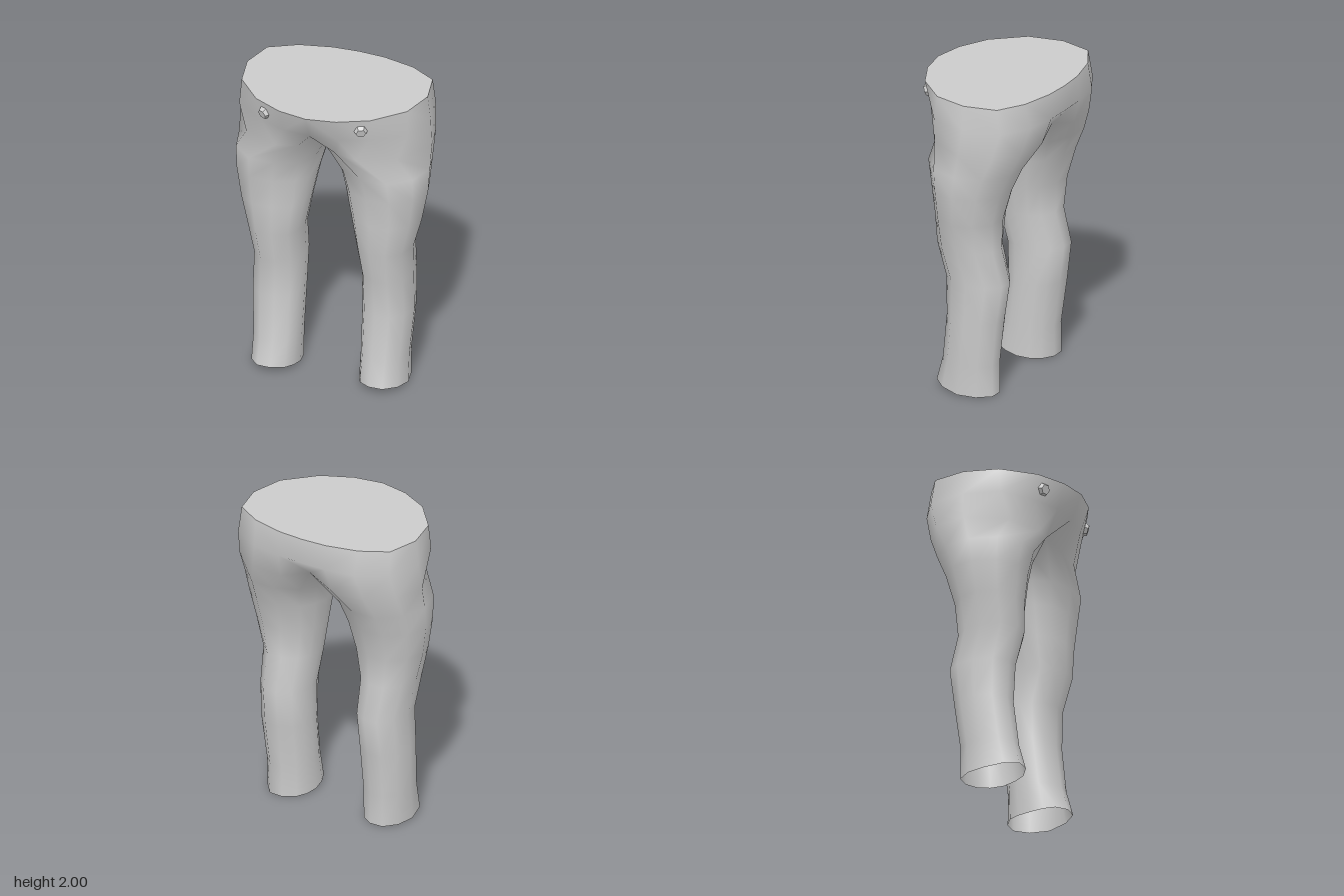
import * as THREE from 'three';
import { mergeGeometries, mergeVertices } from 'three/addons/utils/BufferGeometryUtils.js';

const N = 12; // points around a leg: 9 shared with the hips, 3 on the inside

// Hip half-rings, from front centre round the left side to back centre: [x, z]
const WAIST = [[0, 0.46], [0.19, 0.425], [0.38, 0.33], [0.55, 0.14], [0.6, -0.08], [0.55, -0.29], [0.38, -0.39], [0.17, -0.44], [0, -0.45]];
const HIP = [[0, 0.39], [0.18, 0.375], [0.36, 0.3], [0.56, 0.155], [0.62, -0.08], [0.56, -0.315], [0.37, -0.425], [0.17, -0.455], [0, -0.46]];
// Crotch ring, closed along the centre line by its last three points: [x, y, z]
const CROTCH = [
  [0, 1.75, 0.22], [0.12, 1.69, 0.275], [0.27, 1.67, 0.29], [0.5, 1.67, 0.19], [0.635, 1.67, -0.06], [0.58, 1.67, -0.27],
  [0.41, 1.67, -0.38], [0.19, 1.67, -0.4], [0, 1.73, -0.36], [0, 1.68, -0.2], [0, 1.65, -0.05], [0, 1.68, 0.09],
];
// Leg sections: [y, inner x, outer x, front z, back z]
const LEG = [
  [1.52, 0.06, 0.635, 0.262, -0.32],
  [1.37, 0.1, 0.63, 0.235, -0.255],
  [1.17, 0.14, 0.595, 0.215, -0.2],
  [0.97, 0.18, 0.54, 0.215, -0.19],
  [0.75, 0.195, 0.52, 0.155, -0.25],
  [0.5, 0.2, 0.53, 0.145, -0.215],
  [0.2, 0.205, 0.51, 0.18, -0.178],
  [0, 0.205, 0.51, 0.225, -0.18],
];

function legRing([y, inner, outer, front, back]) {
  const ring = [];
  for (let i = 0; i < N; i++) {
    // three quarters of the turn for the outer points, one quarter inside
    const deg = i <= 8 ? -45 + i * 33.75 : 225 + (i - 8) * 22.5;
    const a = THREE.MathUtils.degToRad(deg);
    const x = (inner + outer) / 2 + (outer - inner) / 2 * Math.sin(a);
    const z = (front + back) / 2 + (front - back) / 2 * THREE.MathUtils.clamp(Math.cos(a) * 1.07, -1, 1);
    // the hem lifts over the instep
    ring.push([x, y === 0 ? Math.max(0, z) * 0.155 : y, z]);
  }
  return ring;
}

// One half of the trousers; side is +1 for left, -1 for right
function halfShell(side) {
  const rings = [
    WAIST.map(([x, z]) => [x, 2, z]),
    HIP.map(([x, z]) => [x, 1.84, z]),
    CROTCH,
    ...LEG.map(legRing),
  ];
  const pos = [], index = [], start = [];
  for (const ring of rings) {
    start.push(pos.length / 3);
    for (const [x, y, z] of ring) pos.push(side * x, y, z);
  }
  const tri = (a, b, c) => (side > 0 ? index.push(a, b, c) : index.push(a, c, b));
  for (let r = 0; r < rings.length - 1; r++) {
    const open = rings[r].length < N;
    for (let i = 0; i < (open ? 8 : N); i++) {
      const j = open ? i + 1 : (i + 1) % N;
      const a = start[r] + i, b = start[r] + j, c = start[r + 1] + i, d = start[r + 1] + j;
      tri(a, c, d);
      tri(a, d, b);
    }
  }
  const g = new THREE.BufferGeometry();
  g.setAttribute('position', new THREE.Float32BufferAttribute(pos, 3));
  g.setIndex(index);
  return g;
}

export function createModel() {
  const model = new THREE.Group();
  model.name = 'trousers';
  const cloth = new THREE.MeshStandardMaterial({ color: 0xcccccc, side: THREE.DoubleSide });

  // Hips and both legs, welded down the middle
  const shell = mergeVertices(mergeGeometries([halfShell(1), halfShell(-1)]));
  shell.computeVertexNormals();
  const legs = new THREE.Mesh(shell, cloth);
  legs.name = 'hipsAndLegs';
  model.add(legs);

  // Flat waist, with a sharp edge
  const outline = [...WAIST, ...WAIST.slice(1, 8).reverse().map(([x, z]) => [-x, z])];
  const waistShape = new THREE.Shape(outline.map(([x, z]) => new THREE.Vector2(x, -z)));
  const waist = new THREE.Mesh(new THREE.ShapeGeometry(waistShape).rotateX(-Math.PI / 2).translate(0, 2, 0), cloth);
  waist.name = 'waistTop';
  model.add(waist);

  // Hexagonal buttons lying on the front of the hips
  const metal = new THREE.MeshStandardMaterial({ color: 0xcccccc, flatShading: true });
  for (const side of [1, -1]) {
    const button = new THREE.Mesh(new THREE.CylinderGeometry(0.032, 0.048, 0.035, 6).rotateY(Math.PI / 2), metal);
    button.name = side > 0 ? 'leftButton' : 'rightButton';
    const out = new THREE.Vector3(side * 0.42, -0.28, 0.86).normalize();
    const across = new THREE.Vector3(0, 1, 0).cross(out).normalize();
    button.quaternion.setFromRotationMatrix(new THREE.Matrix4().makeBasis(across, out, across.clone().cross(out)));
    button.position.set(side * 0.322, 1.917, 0.345);
    model.add(button);
  }
  return model;
}
